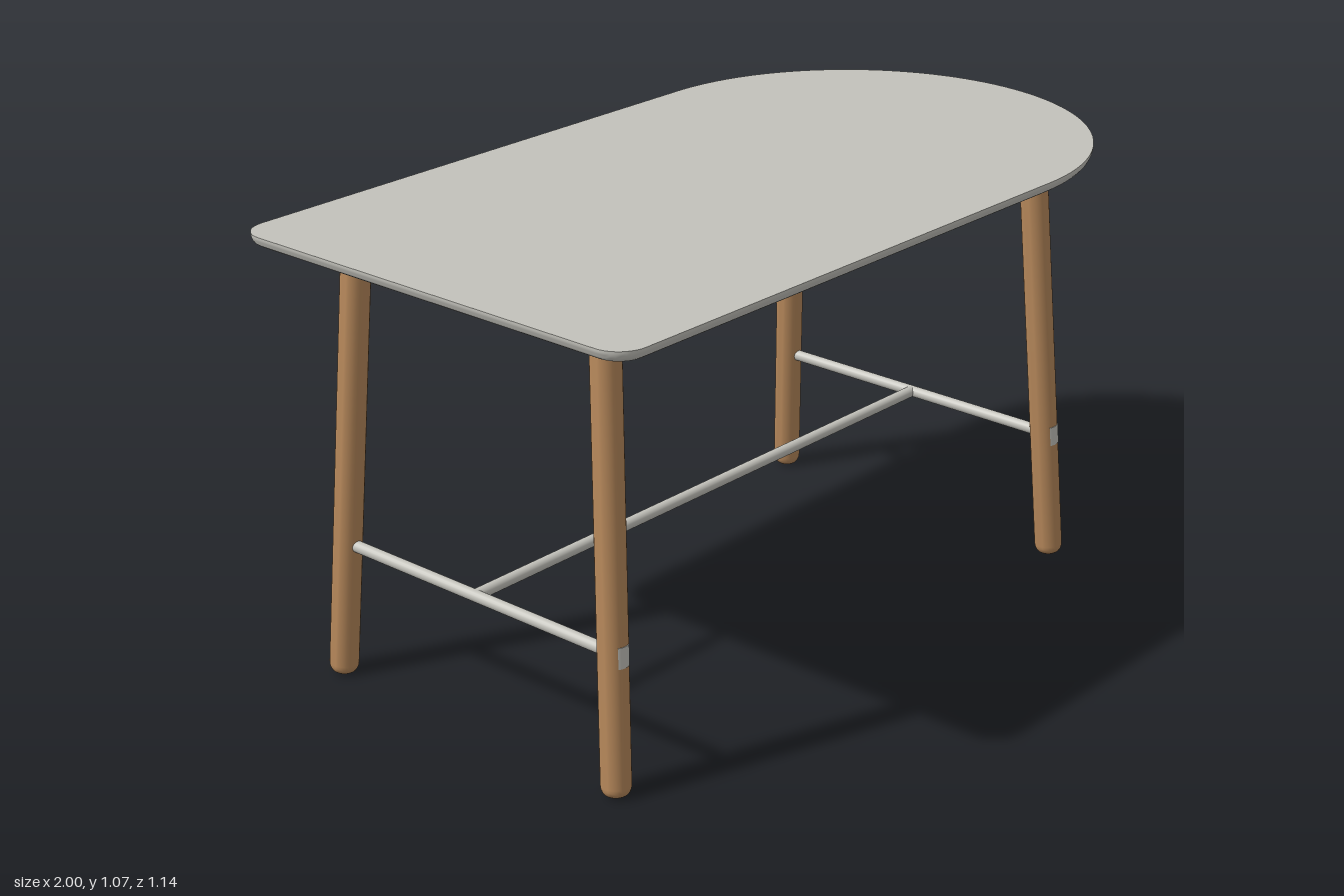
import * as THREE from 'three';
import { toCreasedNormals } from 'three/addons/utils/BufferGeometryUtils.js';

const CX = -0.095; // centre of the leg frame along x
const LEG_R = 0.034;
const TOP = { x: 0.74, y: 1.05, z: 0.37 };
const FOOT = { x: 0.795, y: 0, z: 0.43 };
const BAR_Y = 0.325;

// Outline of the tabletop, inset by d: square end with small corners, round end opposite
function outline(d) {
  const pts = [];
  const arc = (cx, cz, r, a0, a1, n) => {
    for (let i = 0; i <= n; i++) {
      const a = a0 + ((a1 - a0) * i) / n;
      pts.push([cx + (r - d) * Math.cos(a), cz - (r - d) * Math.sin(a)]);
    }
  };
  arc(0.43, 0, 0.57, -Math.PI / 2, Math.PI / 2, 64);
  arc(-0.93, -0.5, 0.07, Math.PI / 2, Math.PI, 10);
  arc(-0.93, 0.5, 0.07, Math.PI, Math.PI * 1.5, 10);
  return pts;
}

// Slab with a crisp upper edge and a rounded lower edge
function tabletopGeometry() {
  const R = 0.024, base = 1.04, levels = [];
  for (let i = 0; i <= 6; i++) {
    const a = (i / 6) * Math.PI / 2;
    levels.push([R * (1 - Math.sin(a)), base + R * (1 - Math.cos(a))]);
  }
  levels.push([0, 1.068]);
  const pos = [], idx = [];
  levels.forEach(([d, y]) => outline(d).forEach(([x, z]) => pos.push(x, y, z)));
  const n = outline(0).length, last = (levels.length - 1) * n;
  const low = pos.length / 3, high = low + 1;
  pos.push(0, base, 0, 0, 1.068, 0);
  for (let j = 0; j < n; j++) {
    const k = (j + 1) % n;
    for (let o = 0; o < last; o += n) idx.push(o + j, o + k, o + n + k, o + j, o + n + k, o + n + j);
    idx.push(low, k, j, high, last + j, last + k);
  }
  const g = new THREE.BufferGeometry();
  g.setAttribute('position', new THREE.Float32BufferAttribute(pos, 3));
  g.setIndex(idx);
  return toCreasedNormals(g, 0.6);
}

export function createModel() {
  const model = new THREE.Group();
  const grey = new THREE.MeshStandardMaterial({ color: 0xc3c2bb });
  grey.name = 'warm grey';
  const wood = new THREE.MeshStandardMaterial({ color: 0xb98a5c });
  wood.name = 'wood';

  const add = (name, geometry, material, parent = model) => {
    const mesh = new THREE.Mesh(geometry, material);
    mesh.name = name;
    parent.add(mesh);
    return mesh;
  };
  // Square wooden rail between two points in the frame plane
  const rail = (name, x0, z0, x1, z1, w = 0.026) => {
    const m = add(name, new THREE.BoxGeometry(Math.hypot(x1 - x0, z1 - z0), 0.03, w), wood);
    m.position.set(CX + (x0 + x1) / 2, 1.026, (z0 + z1) / 2);
    m.rotation.y = -Math.atan2(z1 - z0, x1 - x0);
  };
  // Round metal bar along z, turned to x when asked
  const bar = (name, length, x, alongX) => {
    const g = new THREE.CylinderGeometry(0.014, 0.014, length, 20).rotateX(Math.PI / 2);
    const m = add(name, alongX ? g.rotateY(Math.PI / 2) : g, grey);
    m.position.set(x, BAR_Y, 0);
  };

  add('tabletop', tabletopGeometry(), grey);

  // Splayed legs with rounded feet and a small metal plate on the outer side
  const legLength = Math.hypot(FOOT.x - TOP.x, TOP.y, FOOT.z - TOP.z);
  const profile = [[0, 0], [0.016, 0]];
  for (let i = 1; i <= 5; i++) {
    const a = (i / 5) * Math.PI / 2;
    profile.push([0.016 + 0.018 * Math.sin(a), 0.024 * (1 - Math.cos(a))]);
  }
  profile.push([LEG_R, legLength], [0, legLength]);
  const legGeo = toCreasedNormals(
    new THREE.LatheGeometry(profile.map(([r, y]) => new THREE.Vector2(r, y)), 32), 0.6);
  const plateGeo = new THREE.CylinderGeometry(0.0355, 0.0355, 0.048, 10, 1, false, -0.5, 1);
  for (const sx of [-1, 1]) for (const sz of [-1, 1]) {
    const leg = new THREE.Group();
    leg.name = (sz > 0 ? 'front' : 'back') + (sx > 0 ? 'Left' : 'Right') + 'Leg';
    leg.position.set(CX + sx * FOOT.x, 0, sz * FOOT.z);
    const dir = new THREE.Vector3(sx * (TOP.x - FOOT.x), TOP.y, sz * (TOP.z - FOOT.z)).normalize();
    leg.quaternion.setFromUnitVectors(new THREE.Vector3(0, 1, 0), dir);
    add('legPost', legGeo, wood, leg);
    const plate = add('barEndPlate', plateGeo, grey, leg);
    plate.position.y = BAR_Y;
    plate.rotation.y = sz > 0 ? 0 : Math.PI;
    model.add(leg);

    // Diagonal brace across the frame corner
    rail('cornerBrace', sx * (TOP.x - 0.12), sz * TOP.z, sx * TOP.x, sz * (TOP.z - 0.12), 0.022);
  }

  // Frame under the top
  for (const s of [-1, 1]) {
    rail('longRail', -TOP.x, s * TOP.z, TOP.x, s * TOP.z);
    rail('endRail', s * TOP.x, -TOP.z, s * TOP.x, TOP.z);
  }
  rail('middleRail', 0, -TOP.z, 0, TOP.z);

  // H-shaped stretcher
  const t = BAR_Y / TOP.y;
  const bx = FOOT.x + (TOP.x - FOOT.x) * t, bz = FOOT.z + (TOP.z - FOOT.z) * t;
  for (const s of [-1, 1]) bar('endStretcher', 2 * bz, CX + s * bx, false);
  bar('longStretcher', 2 * bx, CX, true);

  return model;
}
